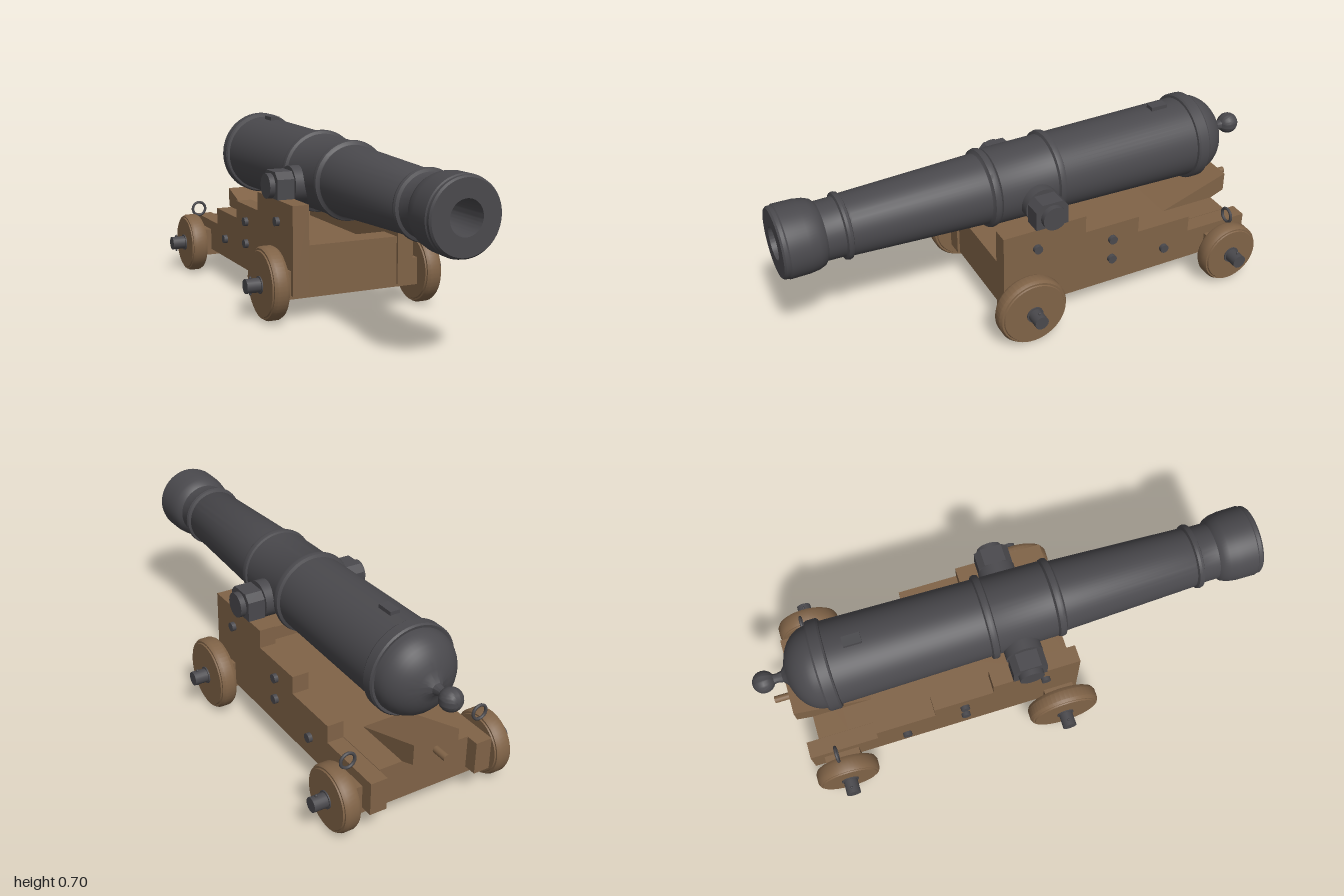
import * as THREE from 'three';
import { toCreasedNormals } from 'three/addons/utils/BufferGeometryUtils.js';

const iron = new THREE.MeshStandardMaterial({ color: 0x4a494d });
iron.name = 'dark iron';
const wood = new THREE.MeshStandardMaterial({ color: 0x806347 });
wood.name = 'brown wood';

export function createModel() {
  const model = new THREE.Group();
  model.name = 'cannon';

  const add = (name, geometry, material, x = 0, y = 0, z = 0) => {
    const mesh = new THREE.Mesh(geometry, material);
    mesh.name = name;
    mesh.position.set(x, y, z);
    model.add(mesh);
    return mesh;
  };
  // box given by its limits on each axis
  const box = (name, material, x0, x1, y0, y1, z0, z1) =>
    add(name, new THREE.BoxGeometry(x1 - x0, y1 - y0, z1 - z0), material,
      (x0 + x1) / 2, (y0 + y1) / 2, (z0 + z1) / 2);
  // [radius, height] profile turned around y, with crisp edges kept
  const turned = (profile, segments = 48) => toCreasedNormals(
    new THREE.LatheGeometry(profile.map(p => new THREE.Vector2(...p)), segments), 0.55);
  // [z, y] outline extruded across x
  const slab = (name, material, outline, xa, xb) => {
    const x0 = Math.min(xa, xb), x1 = Math.max(xa, xb);
    const g = new THREE.ExtrudeGeometry(
      new THREE.Shape(outline.map(p => new THREE.Vector2(...p))),
      { depth: x1 - x0, bevelEnabled: false });
    g.rotateY(-Math.PI / 2).translate(x1, 0, 0);
    return add(name, g, material);
  };
  // cylinder along x between two limits
  const rod = (name, material, r, xa, xb, y, z, segments = 24) =>
    add(name, new THREE.CylinderGeometry(r, r, Math.abs(xb - xa), segments).rotateZ(Math.PI / 2),
      material, (xa + xb) / 2, y, z);

  // barrel: knob, breech dome, rings, chase, swelled muzzle and bore
  const profile = [];
  for (let i = 0; i <= 10; i++) {
    const a = -Math.PI / 2 + i / 10 * (Math.PI / 2 + 1.1);
    profile.push([Math.max(0, 0.043 * Math.cos(a)), -0.957 + 0.043 * Math.sin(a)]);
  }
  profile.push([0.018, -0.905], [0.022, -0.885], [0.04, -0.87]);
  for (let i = 1; i <= 9; i++) {
    const a = 0.25 + i / 9 * (Math.PI / 2 - 0.25);
    profile.push([0.162 * Math.sin(a), -0.75 - 0.122 * Math.cos(a)]);
  }
  const ring = (z, r, w) => profile.push(
    [r - 0.014, z - w], [r - 0.003, z - w * 0.7], [r, z], [r - 0.003, z + w * 0.7], [r - 0.014, z + w]);
  profile.push([0.172, -0.752], [0.177, -0.745], [0.177, -0.707], [0.172, -0.7], [0.163, -0.698]);
  ring(-0.09, 0.167, 0.017);
  profile.push([0.152, -0.07], [0.149, 0.16]);
  ring(0.18, 0.156, 0.017);
  profile.push([0.139, 0.2], [0.118, 0.73]);
  ring(0.75, 0.129, 0.014);
  profile.push([0.113, 0.77], [0.112, 0.83], [0.125, 0.842], [0.134, 0.865], [0.139, 0.9],
    [0.14, 0.975], [0.136, 0.98], [0.136, 0.993], [0.13, 1],
    [0.063, 1], [0.06, 0.96], [0.052, 0.6], [0.03, 0.55], [0, 0.545]);
  add('barrel', turned(profile, 64).rotateX(Math.PI / 2), iron, 0, 0.52, 0);
  box('ventPatch', iron, -0.02, 0.02, 0.66, 0.695, -0.63, -0.56);

  // floor, transom and axle beams
  box('floor', wood, -0.19, 0.19, 0.19, 0.232, -0.72, 0.12);
  box('frontTransom', wood, -0.19, 0.19, 0.1, 0.29, 0.1, 0.205);
  box('frontAxleBeam', wood, -0.29, 0.29, 0.085, 0.195, 0.075, 0.195);
  box('rearAxleBeam', wood, -0.29, 0.29, 0.075, 0.19, -0.84, -0.7);
  box('rearTransom', wood, -0.19, 0.19, 0.19, 0.232, -0.84, -0.72);

  // elevating wedge with handle
  slab('wedge', wood, [[-0.6, 0.232], [-0.84, 0.232], [-0.9, 0.255], [-0.9, 0.335]].reverse(),
    -0.095, 0.095);
  add('wedgeHandle', new THREE.CylinderGeometry(0.014, 0.014, 0.08, 16).rotateX(Math.PI / 2),
    wood, 0, 0.285, -0.922);

  const cheek = [[0.215, 0.1], [0.215, 0.447], [-0.135, 0.447], [-0.135, 0.372], [-0.375, 0.372],
    [-0.375, 0.3], [-0.615, 0.3], [-0.615, 0.23], [-0.89, 0.23], [-0.89, 0.1]];
  const cap = [[-0.055, 0.447], [0.08, 0.447], [0.08, 0.525], [0.055, 0.552], [-0.03, 0.552], [-0.055, 0.525]];
  const bolts = [[0.075, 0.365], [-0.255, 0.305], [-0.255, 0.213], [-0.5, 0.185]];
  const wheels = [['front', 0.143, 0.135], ['rear', 0.125, -0.77]];

  for (const s of [1, -1]) {
    const side = s > 0 ? 'left' : 'right';
    slab(side + 'Cheek', wood, cheek, s * 0.19, s * 0.257);

    // trunnion, its shoulder and the clamp over it
    rod(side + 'TrunnionShoulder', iron, 0.073, s * 0.1, s * 0.185, 0.494, 0.012, 32);
    rod(side + 'Trunnion', iron, 0.049, s * 0.18, s * 0.282, 0.494, 0.012, 32);
    slab(side + 'TrunnionCap', iron, cap, s * 0.19, s * 0.26);

    for (const [z, y] of bolts) rod(side + 'Bolt', iron, 0.018, s * 0.25, s * 0.273, y, z, 16);

    // tackle ring at the tail
    add(side + 'TackleRing', new THREE.TorusGeometry(0.029, 0.006, 8, 24), iron, s * 0.283, 0.272, -0.785);

    // wheels with bevelled rims, axle ends and linchpins
    for (const [end, r, z] of wheels) {
      const w = 0.035;
      const wheel = turned([[0, -w], [r * 0.88, -w], [r * 0.9, -w + 0.005], [r * 0.95, -w + 0.005], [r, -w + 0.017],
        [r, w - 0.017], [r * 0.95, w - 0.005], [r * 0.9, w - 0.005], [r * 0.88, w], [0, w]]);
      add(`${end}${side}Wheel`, wheel.rotateZ(-Math.PI / 2), wood, s * 0.324, r, z);
      const axleY = end === 'front' ? 0.14 : 0.127;
      rod(`${end}${side}AxleEnd`, iron, 0.028, s * 0.28, s * 0.419, axleY, z, 20);
      rod(`${end}${side}Washer`, iron, 0.034, s * 0.355, s * 0.364, axleY, z, 20);
      add(`${end}${side}Linchpin`, new THREE.CapsuleGeometry(0.005, 0.064, 4, 10), iron, s * 0.398, axleY, z);
    }
  }
  return model;
}
